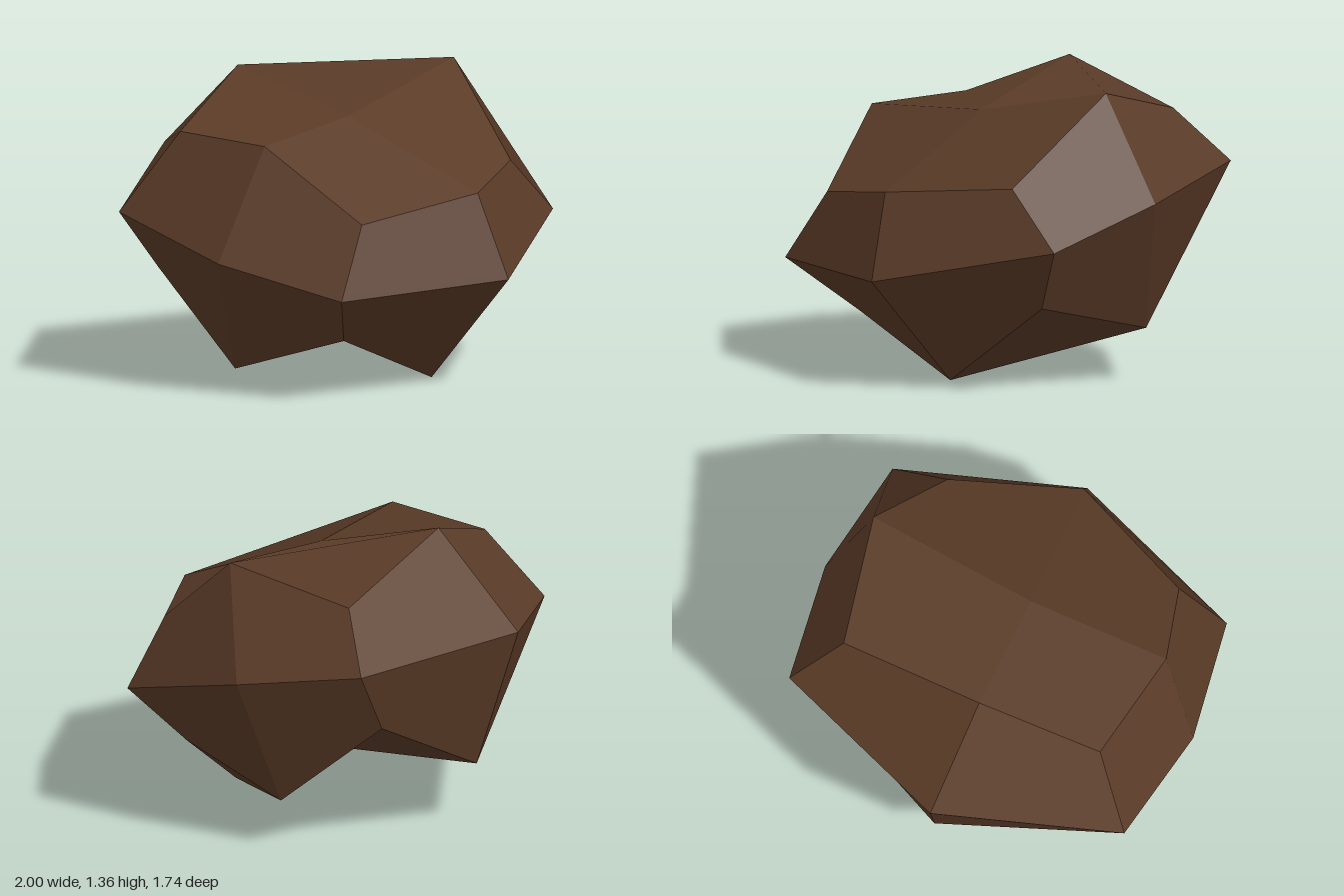
import * as THREE from 'three';

// Three rings of eight corners, each running back-left, back-right, right ... to left.
const UPPER = [
  [-0.24, 1.36, -0.44], [0.44, 1.2, -0.62], [0.73, 1.345, -0.13], [0.72, 0.94, 0.34],
  [0.26, 0.89, 0.75], [-0.36, 0.8, 0.73], [-0.64, 1.135, 0.36], [-0.74, 1.14, -0.17],
];
const MIDDLE = [
  [-0.35, 0.955, -0.87], [0.56, 0.96, -0.85], [0.85, 0.84, -0.32], [1.0, 0.68, 0.27],
  [0.35, 0.5, 0.865], [-0.55, 0.48, 0.845], [-0.86, 0.61, 0.31], [-1.0, 0.78, -0.28],
];
const LOWER = [
  [-0.23, 0.3, -0.72], [0.345, 0.625, -0.74], [0.64, 0.24, -0.38], [0.72, 0.38, 0.19],
  [0.24, 0, 0.41], [-0.35, 0.245, 0.57], [-0.61, 0.075, 0.08], [-0.73, 0.49, -0.36],
];
const TOP = [-0.02, 1.18, 0.12];
const BOTTOM = [0, 0.245, -0.12];

export function createModel() {
  const group = new THREE.Group();
  group.name = 'rock';
  const stone = new THREE.MeshStandardMaterial({ color: 0x5a3b27 });
  stone.name = 'brown stone';

  const points = [];
  const normals = [];
  // Four-cornered facet, folded along a-c and shaded with one normal
  const facet = (a, b, c, d) => {
    const [va, vb, vc, vd] = [a, b, c, d].map((p) => new THREE.Vector3(...p));
    const normal = vc.sub(va).cross(vd.sub(vb)).normalize().toArray();
    for (const p of [a, b, c, a, c, d]) {
      points.push(...p);
      normals.push(...normal);
    }
  };

  // Sides: two bands of facets
  for (const [up, low] of [[UPPER, MIDDLE], [MIDDLE, LOWER]]) {
    for (let i = 0; i < 8; i++) {
      const n = (i + 1) % 8;
      facet(up[i], up[n], low[n], low[i]);
    }
  }

  // Crown and underside: four facets each around a centre, with parallel folds
  for (let j = 1; j < 8; j += 2) {
    const p = j - 1, n = (j + 1) % 8;
    if (j % 4 === 1) {
      facet(UPPER[n], UPPER[j], UPPER[p], TOP);
      facet(BOTTOM, LOWER[p], LOWER[j], LOWER[n]);
    } else {
      facet(TOP, UPPER[n], UPPER[j], UPPER[p]);
      facet(LOWER[p], LOWER[j], LOWER[n], BOTTOM);
    }
  }

  const geometry = new THREE.BufferGeometry();
  geometry.setAttribute('position', new THREE.Float32BufferAttribute(points, 3));
  geometry.setAttribute('normal', new THREE.Float32BufferAttribute(normals, 3));
  const boulder = new THREE.Mesh(geometry, stone);
  boulder.name = 'boulder';
  group.add(boulder);
  return group;
}
